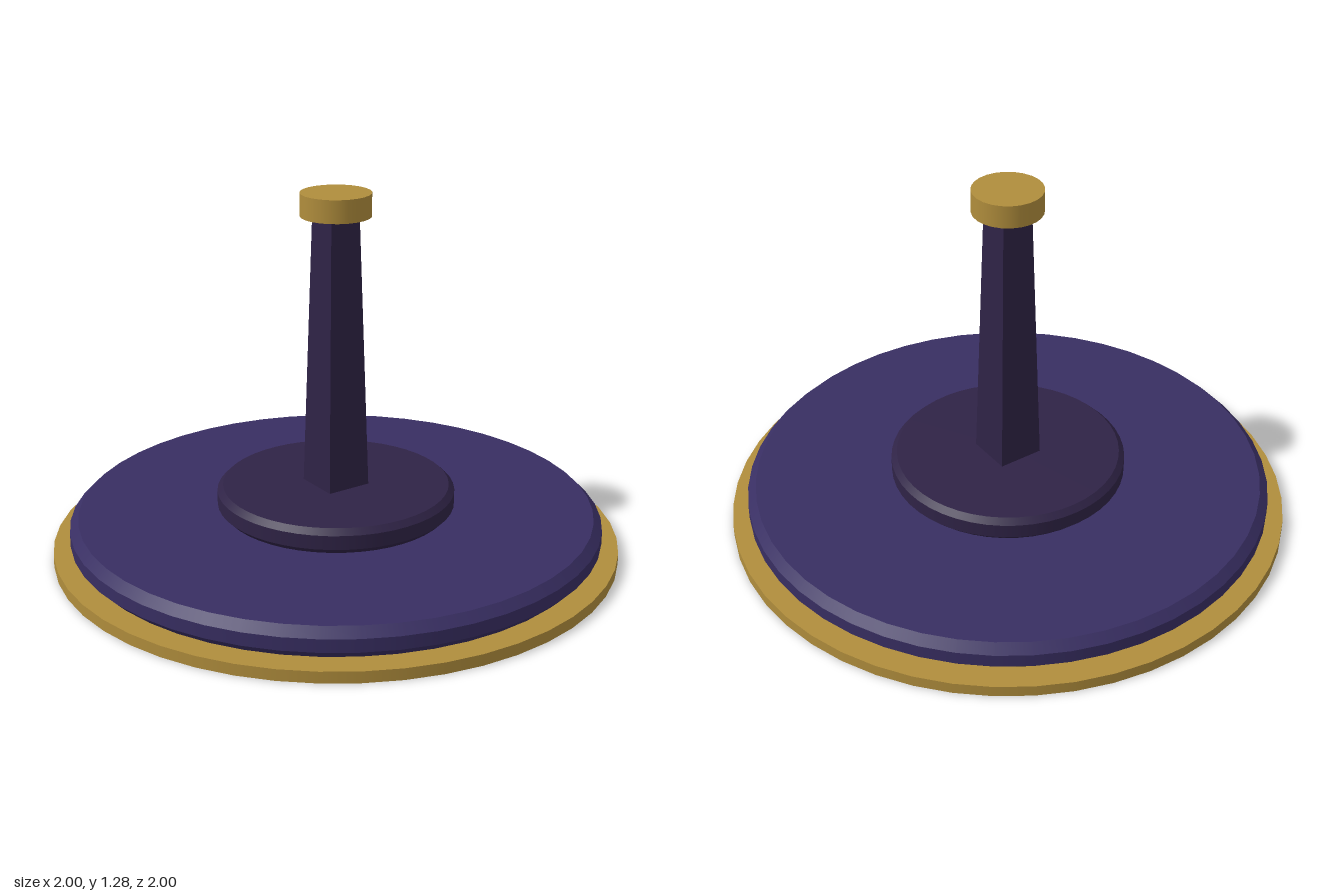
import * as THREE from 'three';

const gold = new THREE.MeshStandardMaterial({ name: 'gold', color: 0xb08d3c });
const purple = new THREE.MeshStandardMaterial({ name: 'purple', color: 0x382e62 });
const darkPurple = new THREE.MeshStandardMaterial({ name: 'dark purple', color: 0x2f2346 });
for (const m of [purple, darkPurple]) m.flatShading = false;

function add(group, name, geometry, material, y = 0) {
  const mesh = new THREE.Mesh(geometry, material);
  mesh.name = name;
  mesh.position.y = y;
  group.add(mesh);
}

// Disc with chamfered rims; repeated profile points keep the edges sharp
function chamferedDisc(radius, y0, y1, chamfer, sides) {
  const inner = radius - chamfer;
  const corners = [[0, y0], [inner, y0], [radius, y0 + chamfer], [radius, y1 - chamfer], [inner, y1], [0, y1]];
  const profile = corners.flatMap(([x, y], i) => {
    const p = new THREE.Vector2(x, y);
    return i > 0 && i < corners.length - 1 ? [p, p.clone()] : [p];
  });
  const geometry = new THREE.LatheGeometry(profile, sides);
  // Exact normals per band
  const normal = geometry.attributes.normal;
  const bands = [[0, -1], [1, -1], [1, 0], [1, 1], [0, 1]];
  for (let i = 0; i < normal.count; i++) {
    const [r, y] = bands[Math.floor((i % profile.length) / 2)];
    const a = Math.floor(i / profile.length) / sides * Math.PI * 2;
    const n = new THREE.Vector3(r * Math.sin(a), y, r * Math.cos(a)).normalize();
    normal.setXYZ(i, n.x, n.y, n.z);
  }
  return geometry;
}

export function createModel() {
  const model = new THREE.Group();
  model.name = 'roundPedestal';

  // Stacked round base
  add(model, 'baseRim', new THREE.CylinderGeometry(1, 1, 0.04, 48), gold, 0.02);
  add(model, 'lowerDisc', chamferedDisc(0.94, 0.04, 0.146, 0.03, 48), purple);
  add(model, 'upperDisc', chamferedDisc(0.42, 0.146, 0.236, 0.02, 48), darkPurple);

  // Square tapered post, narrowing towards the top
  const post = new THREE.BoxGeometry(1, 0.966, 1);
  const p = post.attributes.position;
  for (let i = 0; i < p.count; i++) {
    const width = p.getY(i) > 0 ? 0.115 : 0.165;
    p.setX(i, p.getX(i) * width);
    p.setZ(i, p.getZ(i) * width);
  }
  post.computeVertexNormals();
  add(model, 'post', post, darkPurple, 0.236 + 0.483);

  // Round cap
  add(model, 'cap', new THREE.CylinderGeometry(0.122, 0.122, 0.08, 24), gold, 1.24);
  return model;
}
